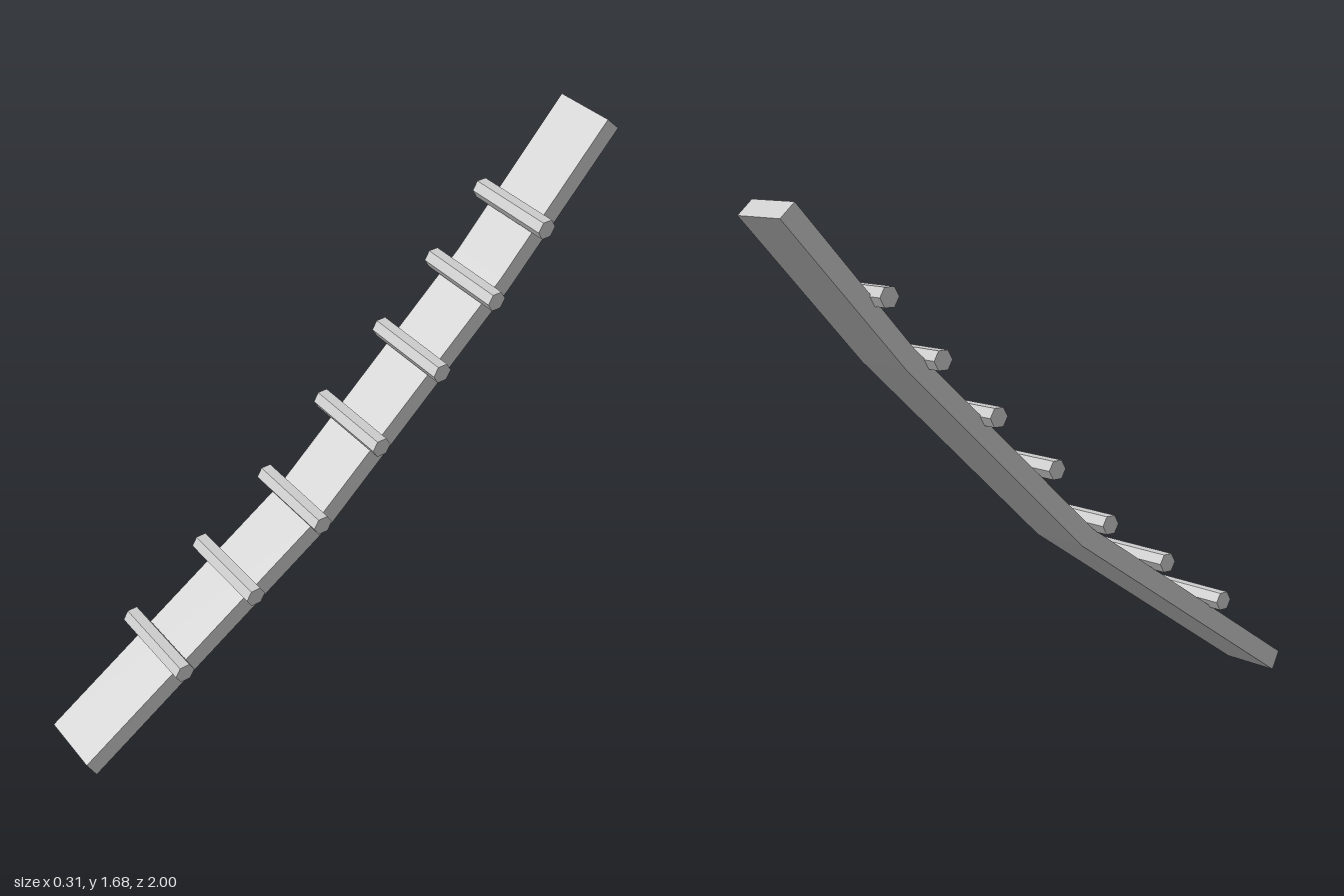
import * as THREE from 'three';

export function createModel() {
  const group = new THREE.Group();
  const grey = new THREE.MeshStandardMaterial({ color: 0xcccccc, flatShading: true });
  grey.name = 'light grey';

  // Bent plank: side profile as [z, y], underside up then top side back down
  const profile = [
    [0.97, 0], [0.07, 0.585], [-0.6, 1.2], [-1, 1.633],
    [-0.953, 1.676], [-0.565, 1.252], [0.115, 0.633], [1, 0.06],
  ];
  const shape = new THREE.Shape(profile.map(([z, y]) => new THREE.Vector2(z, y)));
  const plankGeometry = new THREE.ExtrudeGeometry(shape, { depth: 0.211, bevelEnabled: false });
  plankGeometry.rotateY(-Math.PI / 2).translate(0.098, 0, 0);
  const plank = new THREE.Mesh(plankGeometry, grey);
  plank.name = 'plank';
  group.add(plank);

  // Hexagonal rungs across the top side, as [z, y]
  const rungGeometry = new THREE.CylinderGeometry(0.033, 0.033, 0.315, 6);
  rungGeometry.rotateZ(Math.PI / 2);
  const rungs = [
    [0.665, 0.311], [0.4, 0.485], [0.148, 0.648], [-0.073, 0.851],
    [-0.3, 1.036], [-0.502, 1.221], [-0.685, 1.411],
  ];
  rungs.forEach(([z, y], i) => {
    const rung = new THREE.Mesh(rungGeometry, grey);
    rung.name = `rung${i + 1}`;
    rung.position.set(-0.002, y, z);
    group.add(rung);
  });

  return group;
}
